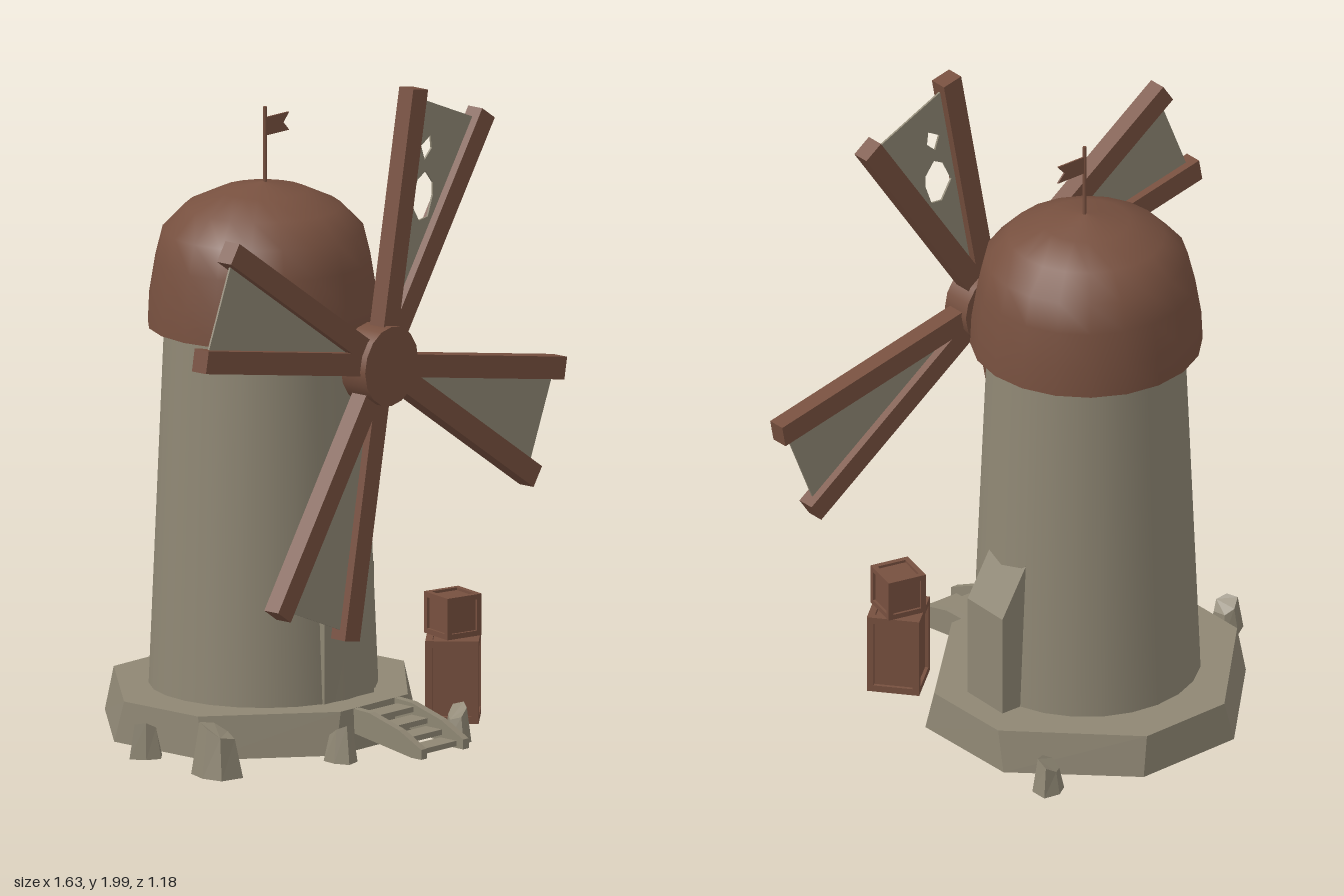
import * as THREE from 'three';

const stone = new THREE.MeshStandardMaterial({ color: 0x8f8774, side: THREE.DoubleSide });
stone.name = 'stone';
const wood = new THREE.MeshStandardMaterial({ color: 0x77503f, side: THREE.DoubleSide });
wood.name = 'wood';

const CX = -0.022, CZ = -0.113; // tower axis

function add(parent, name, geometry, material, x = 0, y = 0, z = 0) {
  const mesh = new THREE.Mesh(geometry, material);
  mesh.name = name;
  mesh.position.set(x, y, z);
  parent.add(mesh);
  return mesh;
}

// Faceted solid between two rings of [x, y, z] points, clockwise from above
function loft(bottom, top) {
  const n = bottom.length, pos = [];
  const tri = (a, b, c) => pos.push(...a, ...b, ...c);
  for (let i = 0; i < n; i++) {
    const j = (i + 1) % n;
    tri(bottom[i], top[i], bottom[j]);
    tri(bottom[j], top[i], top[j]);
    if (i > 0 && i < n - 1) {
      tri(bottom[0], bottom[i], bottom[i + 1]);
      tri(top[0], top[i + 1], top[i]);
    }
  }
  const g = new THREE.BufferGeometry();
  g.setAttribute('position', new THREE.Float32BufferAttribute(pos, 3));
  g.computeVertexNormals();
  return g;
}

function extrude(points, depth, holes = []) {
  const toVec = (list) => list.map(([x, y]) => new THREE.Vector2(x, y));
  const shape = new THREE.Shape(toVec(points));
  holes.forEach((h) => shape.holes.push(new THREE.Path(toVec(h))));
  return new THREE.ExtrudeGeometry(shape, { depth, bevelEnabled: false });
}

// Box core with raised edge beams
function crate(parent, name, size, height, x, y, z, turn) {
  const g = new THREE.Group();
  g.name = name;
  g.position.set(x, y + height / 2, z);
  g.rotation.y = turn;
  const t = size * 0.13, s = size / 2 - t / 2, h = height / 2 - t / 2;
  add(g, 'crateCore', new THREE.BoxGeometry(size - t, height - t, size - t), wood);
  for (const a of [-1, 1]) for (const b of [-1, 1]) {
    add(g, 'cratePost', new THREE.BoxGeometry(t, height, t), wood, a * s, 0, b * s);
    add(g, 'crateRail', new THREE.BoxGeometry(size - 2 * t, t, t), wood, 0, a * h, b * s);
    add(g, 'crateRail', new THREE.BoxGeometry(t, t, size - 2 * t), wood, b * s, a * h, 0);
  }
  parent.add(g);
}

// Leaning, irregular stone with a slanted top
function rock(parent, x, z, r, y0, y1, seed) {
  const bottom = [], top = [];
  for (let i = 0; i < 6; i++) {
    const a = seed + (i / 6) * Math.PI * 2;
    const k = r * (0.88 + 0.17 * Math.sin(seed * 7 + i * 2.3));
    bottom.push([Math.cos(a) * k, y0, Math.sin(a) * k]);
    top.push([Math.cos(a) * k * 0.68, y1 - 0.022 + 0.022 * Math.cos(a - seed * 2), Math.sin(a) * k * 0.68]);
  }
  add(parent, 'rock', loft(bottom, top), stone, x, 0, z);
}

export function createModel() {
  const model = new THREE.Group();
  model.name = 'windmill';

  // Octagonal plinth, diagonal sides sloping in
  const plan = [[-0.21, -0.578], [0.14, -0.59], [0.447, -0.31], [0.46, 0.045],
    [0.18, 0.315], [-0.18, 0.325], [-0.486, 0.08], [-0.495, -0.275]];
  const topPlan = [[-0.18, -0.57], [0.12, -0.58], [0.443, -0.28], [0.452, 0.013],
    [0.15, 0.31], [-0.15, 0.318], [-0.482, 0.05], [-0.49, -0.24]];
  add(model, 'plinth', loft(plan.map(([x, z]) => [x, 0.015, z]),
    topPlan.map(([x, z]) => [x, 0.142, z])), stone);

  // Tapered tower
  add(model, 'tower', new THREE.CylinderGeometry(0.293, 0.34, 1.12, 24, 1, true), stone, CX, 0.69, CZ);

  // Domed cap and its underside
  const profile = [[0.344, 1.23], [0.34, 1.32], [0.322, 1.43], [0.3, 1.52], [0.232, 1.59],
    [0.13, 1.637], [0, 1.662]].map(([r, y]) => new THREE.Vector2(r, y));
  add(model, 'cap', new THREE.LatheGeometry(profile, 20), wood, CX, 0, CZ);
  add(model, 'capUnderside', new THREE.RingGeometry(0.27, 0.344, 20), wood, CX, 1.23, CZ)
    .rotation.x = Math.PI / 2;

  // Flag with swallow tail
  add(model, 'flagPole', new THREE.CylinderGeometry(0.006, 0.006, 0.25, 6), wood, -0.018, 1.763, -0.11);
  add(model, 'flag', extrude([[-0.016, 1.8], [0.085, 1.8], [0.06, 1.827], [0.085, 1.855], [-0.016, 1.855]],
    0.005), wood, 0, 0, -0.113);

  // Pointed door slab and sloped buttress
  add(model, 'door', extrude([[-0.116, 0.13], [0.1, 0.13], [0.1, 0.54], [-0.01, 0.592], [-0.116, 0.545]],
    0.14), stone, 0, 0, 0.08);
  add(model, 'buttress', extrude([[0.2, 0.13], [0.37, 0.13], [0.37, 0.46], [0.31, 0.562], [0.2, 0.75]],
    0.165), stone, 0, 0, -0.208);

  // Front steps between two sloping rails
  const steps = new THREE.Group();
  steps.name = 'steps';
  model.add(steps);
  for (const x of [-0.081, 0.101]) {
    // profile drawn in (-z, y), then turned to face the front
    const rail = add(steps, 'stepRail', extrude([[-0.59, 0.03], [-0.55, 0.03], [-0.3, 0.07], [-0.3, 0.142],
      [-0.38, 0.138], [-0.5, 0.105], [-0.59, 0.06]], 0.024), stone, x - 0.012, 0, 0);
    rail.rotation.y = Math.PI / 2;
  }
  for (let i = 0; i < 4; i++) {
    add(steps, 'tread', new THREE.BoxGeometry(0.17, 0.016, 0.065), stone, 0.01, 0.044 + i * 0.025, 0.53 - i * 0.058);
  }

  // Stacked crates
  crate(model, 'lowerCrate', 0.158, 0.25, 0.366, 0.03, 0.292, 0.7);
  crate(model, 'upperCrate', 0.122, 0.126, 0.37, 0.283, 0.287, -0.22);

  // Loose rocks
  rock(model, 0.415, -0.487, 0.055, 0.025, 0.135, 0.4);
  rock(model, -0.59, -0.06, 0.055, 0.02, 0.13, 1.3);
  rock(model, -0.56, 0.2, 0.078, 0.0, 0.16, 2.2);
  rock(model, -0.235, 0.4, 0.054, 0.02, 0.135, 0.9);
  rock(model, 0.17, 0.49, 0.054, 0.025, 0.14, 3.1);

  // Rotor, turned slightly off the front
  add(model, 'shaft', new THREE.CylinderGeometry(0.037, 0.037, 0.25, 12), wood, 0, 1.178, 0.2)
    .rotation.x = Math.PI / 2;
  const rotor = new THREE.Group();
  rotor.name = 'rotor';
  rotor.position.set(0, 1.175, 0.335);
  rotor.rotation.y = 0.037;
  model.add(rotor);
  add(rotor, 'hub', new THREE.CylinderGeometry(0.12, 0.12, 0.095, 16), wood).rotation.x = Math.PI / 2;

  const rad = THREE.MathUtils.degToRad;
  const polar = (r, deg) => [r * Math.cos(rad(deg)), r * Math.sin(rad(deg))];
  const tears = [
    [[0.185, 0.63], [0.228, 0.655], [0.233, 0.615], [0.201, 0.585]],
    [[0.169, 0.53], [0.206, 0.55], [0.238, 0.51], [0.238, 0.472], [0.215, 0.41], [0.175, 0.405], [0.138, 0.465]],
  ];
  for (let k = 0; k < 4; k++) {
    const blade = new THREE.Group();
    blade.name = 'blade';
    blade.rotation.z = k * Math.PI / 2;
    rotor.add(blade);
    for (const deg of [79.2, 56]) {
      const [x, y] = polar(0.46, deg);
      add(blade, 'bladeBar', new THREE.BoxGeometry(0.73, 0.068, 0.055), wood, x, y, 0).rotation.z = rad(deg);
    }
    // Cloth between the bars, torn on one blade only
    add(blade, 'sail', extrude([polar(0.11, 67.5), polar(0.8, 56.5), polar(0.8, 78.7)], 0.006,
      k === 0 ? tears : []), stone, 0, 0, -0.003);
  }
  return model;
}
